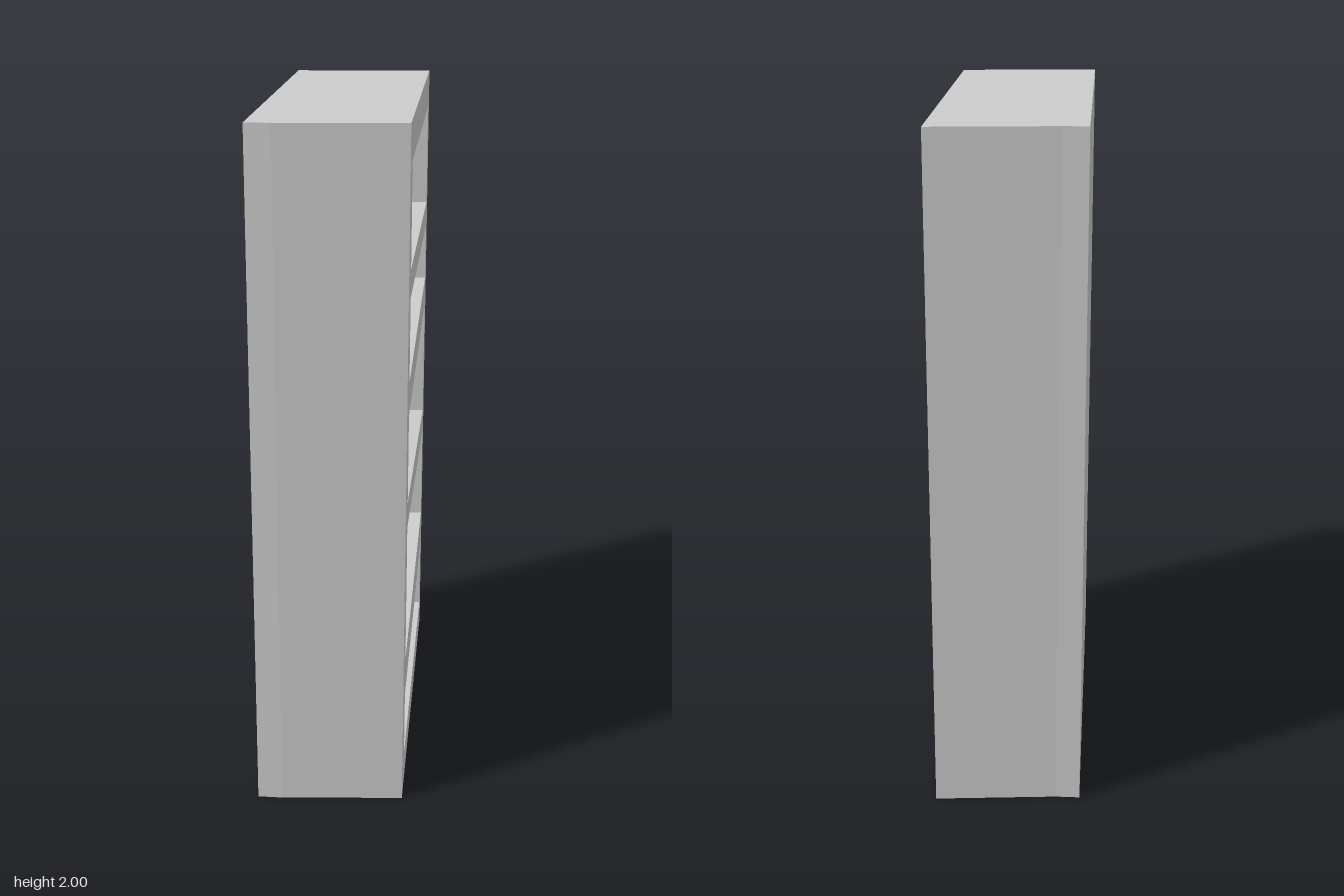
import * as THREE from 'three';

const HALF_W = 0.214, HALF_L = 0.6, HEIGHT = 2;
const PANEL = 0.072; // thickness of the closed panel
const SKEW = 0.031;  // sideways drift of the shelf case towards its open face

// Openings at the open face: y of [bottom, top] at the front end, then at the rear end
const OPENINGS = [
  [0.095, 0.293, 0.095, 0.333],
  [0.411, 0.838, 0.451, 0.762],
  [0.915, 1.179, 0.842, 1.222],
  [1.275, 1.516, 1.318, 1.497],
  [1.595, 1.89, 1.576, 1.89],
];

const quad = (Target, u0, u1, [b0, t0, b1, t1]) => new Target([
  new THREE.Vector2(u0, b0), new THREE.Vector2(u1, b1),
  new THREE.Vector2(u1, t1), new THREE.Vector2(u0, t0),
]);

export function createModel() {
  const group = new THREE.Group();
  group.name = 'shelfUnit';
  const material = new THREE.MeshStandardMaterial({ color: 0xcccccc, flatShading: true });

  // Closed panel behind the compartments
  const length = 2 * HALF_L - SKEW;
  const panel = new THREE.Mesh(new THREE.BoxGeometry(PANEL, HEIGHT, length), material);
  panel.name = 'backPanel';
  panel.position.set(-HALF_W + PANEL / 2, HEIGHT / 2, SKEW / 2);
  group.add(panel);

  // Shelf case: side outline with slanted openings, extruded along x
  const outline = quad(THREE.Shape, -HALF_L, HALF_L - SKEW, [0, HEIGHT, 0, HEIGHT]);
  for (const ys of OPENINGS) {
    outline.holes.push(quad(THREE.Path, -0.47 - SKEW, 0.54 - SKEW, ys));
  }
  const depth = 2 * HALF_W - PANEL;
  const geometry = new THREE.ExtrudeGeometry(outline, { depth, bevelEnabled: false });

  // Skew the case so that its ends slant towards the open face
  const p = geometry.attributes.position;
  for (let i = 0; i < p.count; i++) p.setX(i, p.getX(i) + SKEW * p.getZ(i) / depth);
  geometry.rotateY(Math.PI / 2);
  geometry.translate(-HALF_W + PANEL, 0, 0);
  geometry.computeVertexNormals();
  const shelves = new THREE.Mesh(geometry, material);
  shelves.name = 'shelfCase';
  group.add(shelves);

  return group;
}
